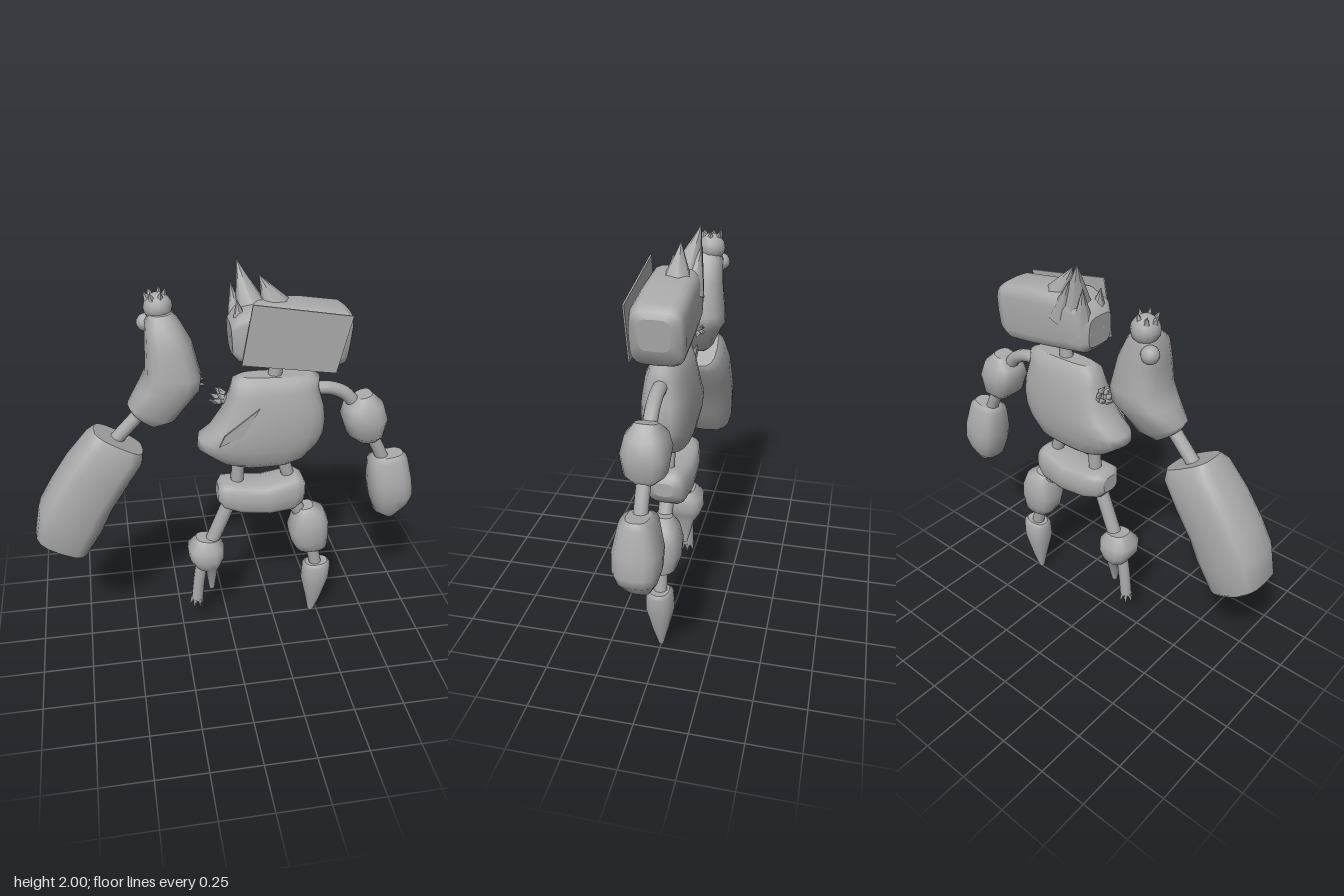
import * as THREE from 'three';

const stone = new THREE.MeshStandardMaterial({ color: 0xaaaaaa });
stone.name = 'stone grey';
stone.side = THREE.DoubleSide;

const V = (p) => new THREE.Vector3(p[0], p[1], p[2] || 0);

export function createModel() {
  const model = new THREE.Group();
  model.name = 'brokenRobot';

  const add = (name, geometry) => {
    const mesh = new THREE.Mesh(geometry, stone);
    mesh.name = name;
    model.add(mesh);
    return mesh;
  };

  // Closed body through rings; each ring is [x1, y1, x2, y2, zFront, zBack]
  const loft = (name, rings, power = 2.6, sides = 16) => {
    const pos = [], idx = [];
    const pushRing = ([x1, y1, x2, y2, zf, zb = -zf]) => {
      for (let k = 0; k < sides; k++) {
        const a = (k / sides) * Math.PI * 2, c = Math.cos(a), s = Math.sin(a);
        const u = 0.5 + 0.5 * Math.sign(c) * Math.abs(c) ** (2 / power);
        const v = Math.sign(s) * Math.abs(s) ** (2 / power);
        pos.push(x1 + (x2 - x1) * u, y1 + (y2 - y1) * u, (zf + zb) / 2 + (v * (zf - zb)) / 2);
      }
    };
    rings.forEach(pushRing);
    for (let i = 0; i < rings.length - 1; i++) {
      for (let k = 0; k < sides; k++) {
        const n = (k + 1) % sides, a = i * sides, b = a + sides;
        idx.push(a + k, a + n, b + k, a + n, b + n, b + k);
      }
    }
    // Flat end caps on their own vertices
    [rings[0], rings[rings.length - 1]].forEach((r, end) => {
      const start = pos.length / 3;
      pushRing(r);
      const [x1, y1, x2, y2, zf, zb = -zf] = r;
      pos.push((x1 + x2) / 2, (y1 + y2) / 2, (zf + zb) / 2);
      for (let k = 0; k < sides; k++) {
        const p = start + k, n = start + ((k + 1) % sides);
        idx.push(start + sides, end ? p : n, end ? n : p);
      }
    });
    const g = new THREE.BufferGeometry();
    g.setAttribute('position', new THREE.Float32BufferAttribute(pos, 3));
    g.setIndex(idx);
    g.computeVertexNormals();
    return add(name, g);
  };

  const rod = (name, points, r = 0.033) =>
    add(name, new THREE.TubeGeometry(new THREE.CatmullRomCurve3(points.map(V)), 10, r, 10));

  // Cone from a base point to a tip, optionally flattened in depth
  const spike = (name, base, tip, r, sides = 7) => {
    const d = V(tip).sub(V(base)), h = d.length();
    const g = new THREE.ConeGeometry(r, h, sides, 1).translate(0, h / 2, 0);
    const mesh = add(name, g);
    mesh.position.copy(V(base));
    mesh.quaternion.setFromUnitVectors(new THREE.Vector3(0, 1, 0), d.normalize());
    return mesh;
  };

  // Torn end: ring of small jagged prongs flaring around a direction
  const jaggedEnd = (name, at, dir, r, len) => {
    const group = new THREE.Group();
    group.name = name;
    for (let i = 0; i < 6; i++) {
      const a = (i / 6) * Math.PI * 2;
      const prong = new THREE.Mesh(new THREE.ConeGeometry(r * 0.5, len, 4).translate(0, len / 2, 0), stone);
      prong.name = 'prong';
      prong.position.set(Math.cos(a) * r * 0.7, 0, Math.sin(a) * r * 0.7);
      prong.rotation.set(Math.sin(a) * 0.35, 0, -Math.cos(a) * 0.35);
      group.add(prong);
    }
    group.position.copy(V(at));
    group.quaternion.setFromUnitVectors(new THREE.Vector3(0, 1, 0), V(dir).normalize());
    model.add(group);
  };

  const ball = (name, at, r) => add(name, new THREE.SphereGeometry(r, 12, 8)).position.copy(V(at));

  // Flat plate from outline points
  const plate = (name, pts, z) => {
    const shape = new THREE.Shape(pts.map((p) => new THREE.Vector2(p[0], p[1])));
    add(name, new THREE.ExtrudeGeometry(shape, { depth: 0.008, bevelEnabled: false })).position.z = z;
  };

  // Torso with bulging belly
  loft('torso', [
    [0.05, 1.48, 0.40, 1.47, 0.045], [0.015, 1.46, 0.435, 1.455, 0.07], [0.0, 1.39, 0.43, 1.41, 0.095],
    [-0.04, 1.29, 0.46, 1.31, 0.11], [-0.095, 1.21, 0.47, 1.24, 0.115], [-0.15, 1.17, 0.465, 1.17, 0.115],
    [-0.155, 1.12, 0.44, 1.11, 0.11], [-0.05, 1.04, 0.38, 1.04, 0.095], [0.05, 1.0, 0.31, 1.0, 0.055],
  ], 3, 20);
  plate('chestFold', [[0.13, 1.35], [-0.035, 1.22], [-0.06, 1.165], [0.05, 1.21]], 0.103);

  // Head, visor and swept hair
  loft('head', [
    [0.01, 1.60, 0.0, 1.75, 0.07, -0.08], [0.035, 1.572, 0.035, 1.80, 0.10, -0.11],
    [0.12, 1.56, 0.13, 1.835, 0.11, -0.125], [0.34, 1.525, 0.33, 1.825, 0.11, -0.13],
    [0.48, 1.508, 0.52, 1.795, 0.11, -0.13], [0.53, 1.53, 0.555, 1.77, 0.10, -0.12],
    [0.555, 1.60, 0.567, 1.74, 0.06, -0.08],
  ], 4, 20);
  plate('visor', [[0.04, 1.582], [0.479, 1.513], [0.542, 1.783], [0.087, 1.862]], 0.115);
  spike('hairSpike', [0.12, 1.76, -0.04], [0.05, 2.0, -0.1], 0.085);
  spike('hairSpike', [0.24, 1.76, -0.03], [0.14, 1.945, -0.03], 0.085);
  spike('hairSpike', [0.06, 1.68, -0.06], [0.022, 1.9, -0.1], 0.06);
  spike('hairSpike', [0.06, 1.69, 0.03], [0.03, 1.86, 0.03], 0.06);
  spike('hairSpike', [0.17, 1.72, -0.08], [0.09, 1.92, -0.11], 0.06);
  rod('neck', [[0.235, 1.58], [0.225, 1.51], [0.215, 1.44]]);

  // Left arm
  rod('leftShoulder', [[0.40, 1.385], [0.49, 1.38], [0.57, 1.345], [0.64, 1.26]]);
  loft('leftUpperArm', [
    [0.625, 1.325, 0.70, 1.345, 0.05], [0.57, 1.28, 0.76, 1.29, 0.09], [0.558, 1.22, 0.787, 1.21, 0.108],
    [0.59, 1.13, 0.772, 1.12, 0.095], [0.65, 1.08, 0.75, 1.085, 0.05],
  ]);
  rod('leftElbow', [[0.71, 1.12], [0.76, 1.03], [0.805, 0.93]]);
  loft('leftForearm', [
    [0.75, 0.975, 0.895, 0.995, 0.05], [0.717, 0.955, 0.92, 0.97, 0.08], [0.725, 0.82, 0.95, 0.85, 0.108],
    [0.74, 0.74, 0.965, 0.76, 0.105], [0.77, 0.655, 0.95, 0.71, 0.085], [0.83, 0.62, 0.88, 0.63, 0.05],
  ]);

  // Right arm: huge forearm and hand held upward
  loft('rightForearm', [
    [-0.64, 1.265, -0.415, 1.13, 0.10, -0.08], [-0.68, 1.23, -0.42, 1.09, 0.14, -0.115],
    [-0.785, 1.105, -0.50, 0.97, 0.155, -0.13], [-0.87, 0.98, -0.585, 0.84, 0.16, -0.13],
    [-0.935, 0.87, -0.63, 0.74, 0.16, -0.13], [-0.965, 0.725, -0.72, 0.595, 0.15, -0.12],
    [-0.93, 0.68, -0.755, 0.578, 0.11, -0.09],
  ], 3);
  rod('rightElbow', [[-0.57, 1.16], [-0.49, 1.245], [-0.41, 1.33]]);
  loft('rightUpperArm', [
    [-0.35, 1.785, -0.25, 1.79, 0.0, -0.12], [-0.375, 1.74, -0.215, 1.75, 0.05, -0.14],
    [-0.38, 1.63, -0.165, 1.66, 0.085, -0.145], [-0.385, 1.52, -0.125, 1.50, 0.11, -0.16],
    [-0.42, 1.45, -0.135, 1.43, 0.11, -0.16], [-0.475, 1.37, -0.26, 1.28, 0.085, -0.10],
    [-0.455, 1.33, -0.345, 1.25, 0.05, -0.06],
  ]);
  ball('rightShoulderBall', [-0.307, 1.805, -0.08], 0.067);
  ball('rightShoulderKnob', [-0.365, 1.72, -0.12], 0.042);
  jaggedEnd('rightShoulderTear', [-0.315, 1.835, -0.08], [-0.1, 1, 0], 0.045, 0.055);
  jaggedEnd('armSocketTear', [-0.145, 1.445, -0.05], [1, 0.15, 0], 0.03, 0.045);
  jaggedEnd('torsoSocketTear', [-0.035, 1.355, -0.03], [-0.8, 0.6, 0], 0.035, 0.05);
  rod('torsoSocket', [[0.03, 1.31, -0.03], [0.0, 1.333, -0.03], [-0.035, 1.358, -0.03]], 0.022);

  // Waist and pelvis
  rod('waistRod', [[0.045, 1.06], [0.045, 0.97], [0.04, 0.87]]);
  rod('waistRod', [[0.26, 1.06], [0.285, 0.97], [0.315, 0.87]]);
  loft('pelvis', [
    [-0.06, 0.81, -0.055, 0.89, 0.05], [-0.03, 0.775, -0.03, 0.92, 0.09], [0.05, 0.745, 0.06, 0.912, 0.105],
    [0.2, 0.725, 0.18, 0.90, 0.108], [0.32, 0.732, 0.33, 0.935, 0.10], [0.37, 0.77, 0.372, 0.91, 0.08],
    [0.387, 0.81, 0.387, 0.88, 0.045],
  ], 3);

  // Right leg with broken shin
  rod('rightThigh', [[0.015, 0.81], [-0.035, 0.68], [-0.095, 0.53]], 0.036);
  loft('rightKnee', [
    [-0.17, 0.578, -0.055, 0.56, 0.05], [-0.215, 0.52, -0.025, 0.52, 0.092], [-0.21, 0.46, -0.027, 0.46, 0.095],
    [-0.175, 0.405, -0.04, 0.425, 0.08], [-0.125, 0.37, -0.06, 0.38, 0.05], [-0.105, 0.235, -0.078, 0.235, 0.012],
  ]);
  rod('rightShin', [[-0.14, 0.43], [-0.16, 0.29], [-0.172, 0.17]], 0.031);
  jaggedEnd('rightShinTear', [-0.172, 0.175], [-0.08, -1, 0], 0.03, 0.05);

  // Left leg with pointed foot
  rod('leftHip', [[0.30, 0.80], [0.345, 0.73], [0.39, 0.65]], 0.036);
  loft('leftThigh', [
    [0.36, 0.71, 0.44, 0.725, 0.045], [0.335, 0.67, 0.50, 0.69, 0.08], [0.315, 0.58, 0.525, 0.63, 0.098],
    [0.335, 0.50, 0.527, 0.55, 0.095], [0.36, 0.458, 0.527, 0.47, 0.075], [0.42, 0.44, 0.50, 0.445, 0.05],
  ]);
  rod('leftShin', [[0.44, 0.48], [0.46, 0.4], [0.48, 0.31]]);
  loft('leftFoot', [
    [0.42, 0.34, 0.54, 0.35, 0.045], [0.405, 0.325, 0.556, 0.335, 0.065], [0.40, 0.24, 0.55, 0.24, 0.07],
    [0.43, 0.11, 0.515, 0.11, 0.04], [0.448, 0.015, 0.483, 0.015, 0.015], [0.457, 0.0, 0.475, 0.0, 0.008],
  ], 2.3);

  return model;
}
